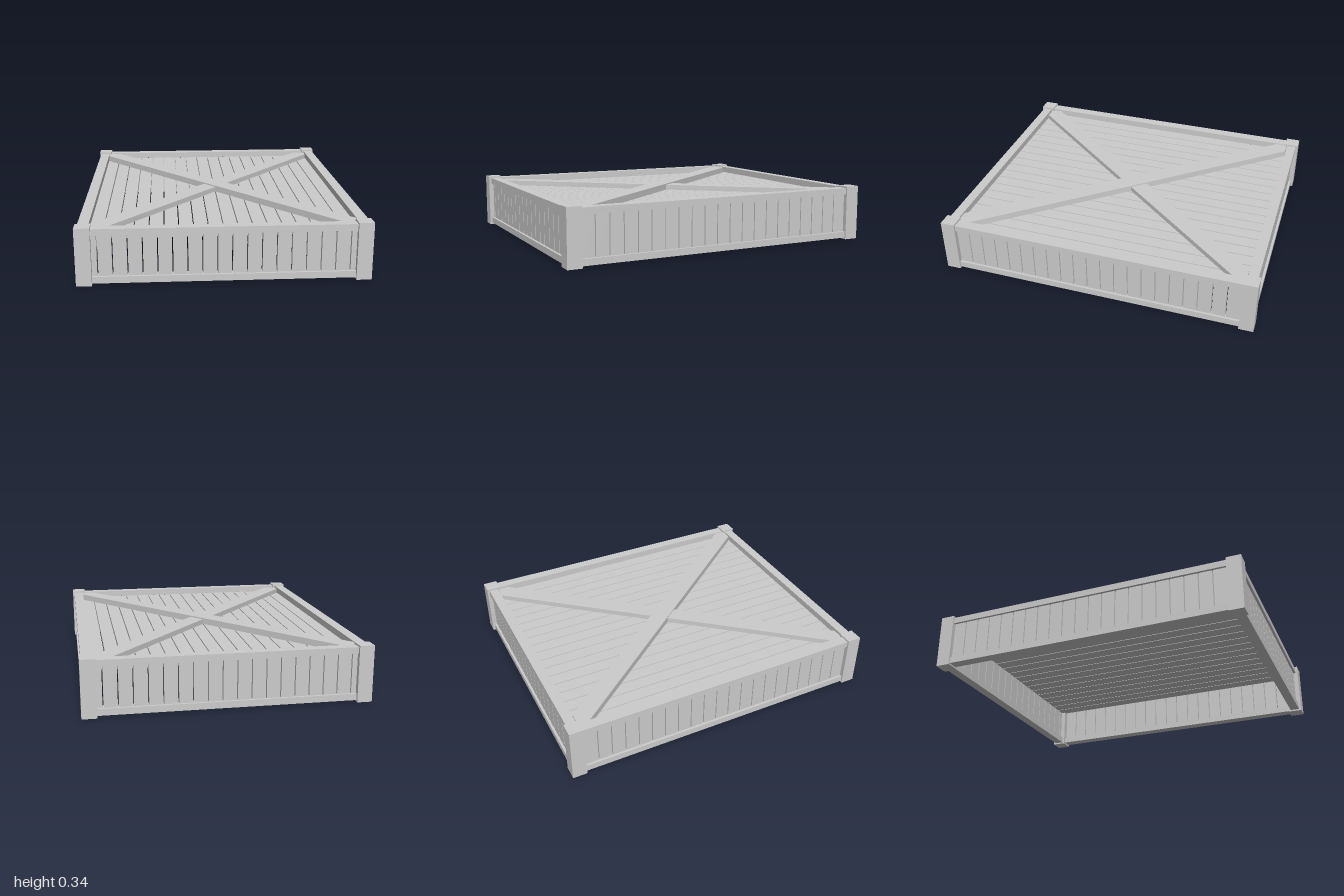
import * as THREE from 'three';

export function createModel() {
  const model = new THREE.Group();
  const material = new THREE.MeshStandardMaterial({ color: 0xcccccc, flatShading: true });

  // Box given by its lower and upper limits on each axis
  function block(name, [x0, x1], [y0, y1], [z0, z1], parent = model) {
    const mesh = new THREE.Mesh(new THREE.BoxGeometry(x1 - x0, y1 - y0, z1 - z0), material);
    mesh.position.set((x0 + x1) / 2, (y0 + y1) / 2, (z0 + z1) / 2);
    mesh.name = name;
    parent.add(mesh);
  }

  // Calls place([from, to]) for each of a row of boards with narrow gaps
  function boards(count, half, place) {
    const pitch = (2 * half) / count, gap = 0.006;
    for (let i = 0; i < count; i++) {
      const start = -half + i * pitch;
      place([start + gap / 2, start + pitch - gap / 2]);
    }
  }

  const span = (s, a, b) => (s > 0 ? [a, b] : [-b, -a]);
  const wallHeight = [0.03, 0.31];
  const railHeights = { bottomRail: [0.01, 0.05], topRail: [0.295, 0.335] };

  for (const s of [-1, 1]) {
    // Corner posts
    for (const t of [-1, 1]) {
      block('cornerPost', span(s, 0.76, 0.85), [0, 0.345], span(t, 0.91, 1));
    }

    // Rails between the posts
    for (const [name, height] of Object.entries(railHeights)) {
      block(name, [-0.77, 0.77], height, span(s, 0.925, 0.985));
      block(name, span(s, 0.775, 0.84), height, [-0.92, 0.92]);
    }

    // Upright planks of the end and side walls
    const endWall = new THREE.Group();
    endWall.name = s > 0 ? 'frontWall' : 'backWall';
    boards(19, 0.812, (x) => block('wallPlank', x, wallHeight, span(s, 0.94, 0.97), endWall));
    const sideWall = new THREE.Group();
    sideWall.name = s > 0 ? 'leftWall' : 'rightWall';
    boards(21, 0.911, (z) => block('wallPlank', span(s, 0.795, 0.825), wallHeight, z, sideWall));
    model.add(endWall, sideWall);
  }

  // Recessed lid boards
  const lid = new THREE.Group();
  lid.name = 'lid';
  boards(18, 0.782, (x) => block('lidBoard', x, [0.265, 0.29], [-0.94, 0.94], lid));
  model.add(lid);

  // Diagonal braces, trimmed to the frame at both ends
  function brace(name, s, top) {
    const outline = [
      [-0.78, 0.855], [-0.78, 0.92], [-0.69, 0.92],
      [0.78, -0.855], [0.78, -0.92], [0.69, -0.92],
    ].map(([x, y]) => new THREE.Vector2(s * x, y));
    const geometry = new THREE.ExtrudeGeometry(new THREE.Shape(outline), {
      depth: top - 0.288, bevelEnabled: false,
    });
    geometry.rotateX(-Math.PI / 2);
    const mesh = new THREE.Mesh(geometry, material);
    mesh.position.y = 0.288;
    mesh.name = name;
    model.add(mesh);
  }
  brace('upperBrace', 1, 0.33);
  brace('lowerBrace', -1, 0.322);

  return model;
}
